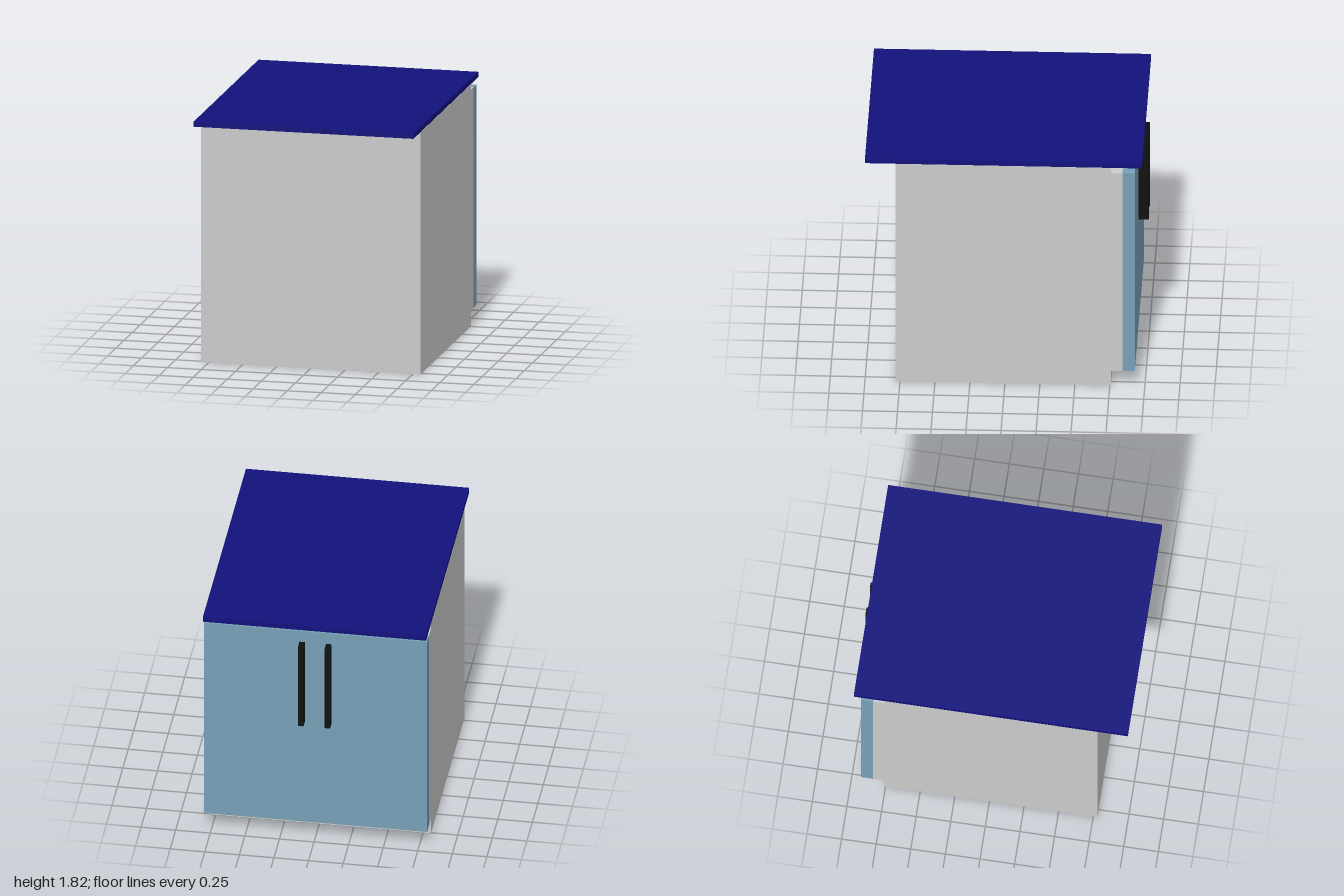
import * as THREE from 'three';

const grey = new THREE.MeshStandardMaterial({ color: 0xcccccc });
const navy = new THREE.MeshStandardMaterial({ color: 0x12127c });
const slate = new THREE.MeshStandardMaterial({ color: 0x78a0b7 });
const black = new THREE.MeshStandardMaterial({ color: 0x111111 });

// Box given by its min and max corners
function box(name, material, [x0, y0, z0], [x1, y1, z1]) {
  const mesh = new THREE.Mesh(new THREE.BoxGeometry(x1 - x0, y1 - y0, z1 - z0), material);
  mesh.position.set((x0 + x1) / 2, (y0 + y1) / 2, (z0 + z1) / 2);
  mesh.name = name;
  return mesh;
}

export function createModel() {
  const model = new THREE.Group();
  model.name = 'cabinet';
  const W = 0.807;

  // Carcass: side profile with a toe kick and a top notch, extruded across the width
  const profile = new THREE.Shape([
    [-0.78, 0], [0.757, 0], [0.757, 0.12], [0.84, 0.12],
    [0.84, 1.735], [0.757, 1.735], [0.757, 1.776], [-0.78, 1.776],
  ].map(([x, y]) => new THREE.Vector2(x, y)));
  const carcassGeo = new THREE.ExtrudeGeometry(profile, { depth: 2 * W, bevelEnabled: false });
  carcassGeo.translate(0, 0, -W).rotateY(Math.PI / 2); // profile x becomes -z
  const carcass = new THREE.Mesh(carcassGeo, grey);
  carcass.name = 'carcass';
  model.add(carcass);

  // Door panel on the back side
  model.add(box('doorPanel', slate, [-W, 0.12, -0.928], [W, 1.735, -0.84]));

  // Pair of upright handles
  for (const side of [-1, 1]) {
    const x = side * 0.096;
    model.add(box(side > 0 ? 'leftHandle' : 'rightHandle', black,
      [x - 0.02, 0.975, -1], [x + 0.02, 1.645, -0.928]));
  }

  // Overhanging worktop with a thin panel beneath it
  model.add(box('worktop', navy, [-W, 1.778, -0.98], [W, 1.816, 1]));
  model.add(box('worktopUnderside', grey, [-0.765, 1.77, -0.93], [0.765, 1.779, 0.95]));

  return model;
}
